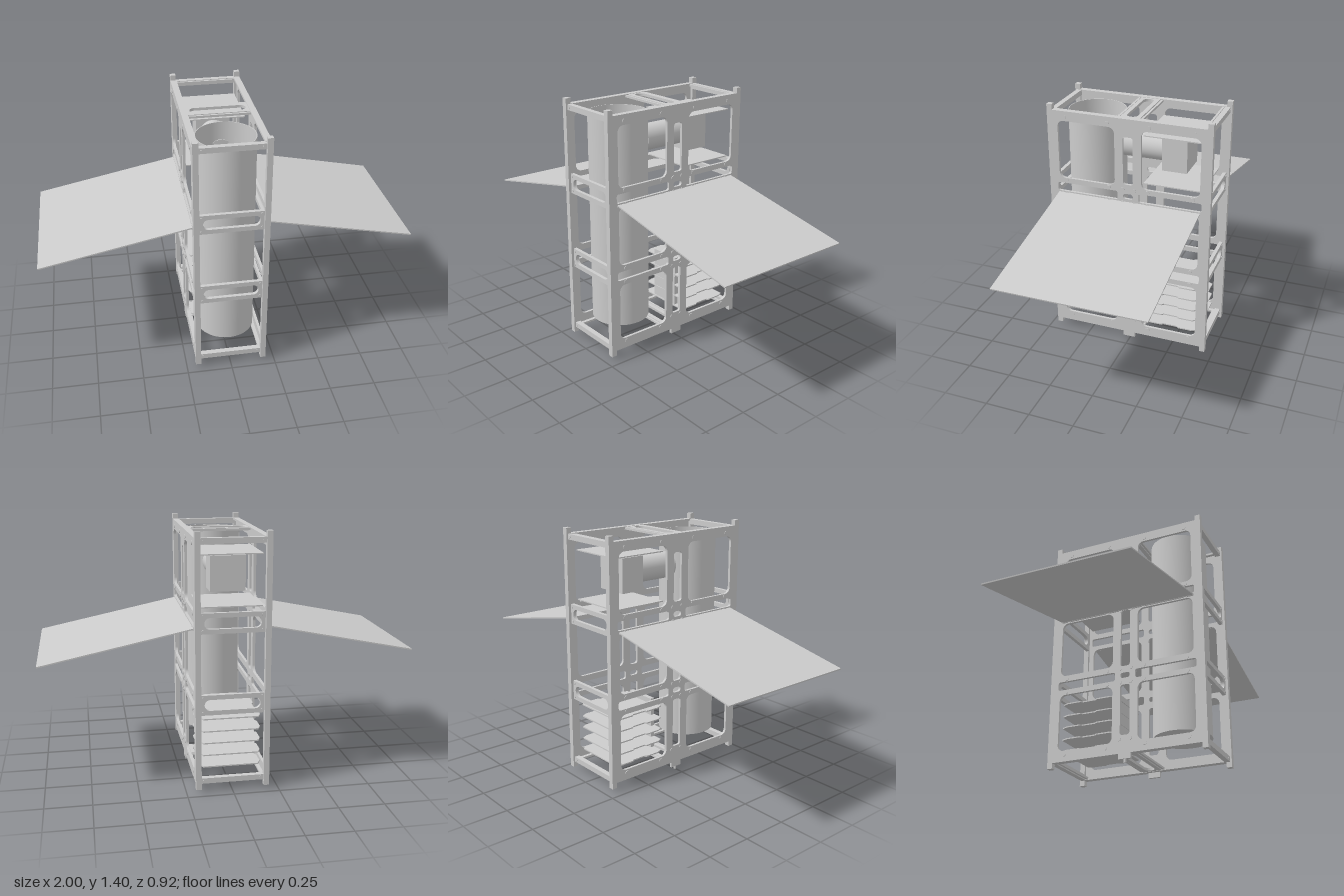
import * as THREE from 'three';

const mat = new THREE.MeshStandardMaterial({ color: 0xcccccc });
const matDouble = new THREE.MeshStandardMaterial({ color: 0xcccccc, side: THREE.DoubleSide });

// Rounded rectangle outline, used for windows and plates
function roundRect(Type, x0, y0, x1, y1, r) {
  const p = new Type();
  p.moveTo(x0 + r, y0);
  p.lineTo(x1 - r, y0); p.absarc(x1 - r, y0 + r, r, -Math.PI / 2, 0);
  p.lineTo(x1, y1 - r); p.absarc(x1 - r, y1 - r, r, 0, Math.PI / 2);
  p.lineTo(x0 + r, y1); p.absarc(x0 + r, y1 - r, r, Math.PI / 2, Math.PI);
  p.lineTo(x0, y0 + r); p.absarc(x0 + r, y0 + r, r, Math.PI, Math.PI * 1.5);
  return p;
}
const hole = (shape, ...a) => shape.holes.push(roundRect(THREE.Path, ...a));
const extrude = (shape, depth) =>
  new THREE.ExtrudeGeometry(shape, { depth, bevelEnabled: false, curveSegments: 6 });

function rect(x0, y0, x1, y1) {
  return new THREE.Shape([[x0, y0], [x1, y0], [x1, y1], [x0, y1]].map(p => new THREE.Vector2(...p)));
}

export function createModel() {
  const model = new THREE.Group();
  const add = (name, geo, x = 0, y = 0, z = 0, material = mat) => {
    const m = new THREE.Mesh(geo, material);
    m.name = name;
    m.position.set(x, y, z);
    model.add(m);
    return m;
  };
  const box = (name, w, h, d, x, y, z) => add(name, new THREE.BoxGeometry(w, h, d), x, y, z);

  // Corner rails
  for (const sx of [-1, 1]) for (const sz of [-1, 1])
    box('cornerRail', 0.03, 1.38, 0.03, sx * 0.185, 0.71, sz * 0.445);

  // Side plates with bay windows, row slots and centre slots
  const side = new THREE.Shape([
    [-0.43, 0.05], [-0.035, 0.05], [-0.035, 0.02], [0.035, 0.02], [0.035, 0.05],
    [0.43, 0.05], [0.43, 1.37], [-0.43, 1.37],
  ].map(p => new THREE.Vector2(...p)));
  for (const s of [-1, 1]) {
    const win = (a, b, y0, y1, r) => hole(side, Math.min(s * a, s * b), y0, Math.max(s * a, s * b), y1, r);
    for (const [y0, y1] of [[0.11, 0.435], [0.55, 0.88], [0.985, 1.315]]) win(0.075, 0.4, y0, y1, 0.035);
    for (const y of [0.465, 0.905]) win(0.06, 0.412, y, y + 0.05, 0.012);
  }
  for (const [y0, y1] of [[0.15, 0.435], [0.475, 0.505], [0.545, 0.885], [0.915, 0.945], [1, 1.27]])
    hole(side, -0.028, y0, 0.028, y1, 0.014);
  const sideGeo = extrude(side, 0.015).rotateY(-Math.PI / 2);
  for (const sx of [-1, 1]) {
    add('sidePlate', sideGeo, sx > 0 ? 0.2 : -0.185);
    // inward flanges along top and bottom edges
    for (const y of [0.056, 1.364]) box('sideFlange', 0.02, 0.012, 0.86, sx * 0.175, y, 0);
  }
  // Switch pin under one side tab
  add('footPin', new THREE.CylinderGeometry(0.007, 0.007, 0.03, 12), -0.19, 0.015, 0);

  // Front and back cross members
  const slotPlate = rect(-0.17, -0.055, 0.17, 0.055);
  hole(slotPlate, -0.15, -0.03, 0.15, 0.03, 0.029);
  const slotGeo = extrude(slotPlate, 0.02).translate(0, 0, -0.01);
  for (const sz of [-1, 1]) {
    for (const y of [0.065, 1.353]) box('crossBar', 0.34, 0.03, 0.03, 0, y, sz * 0.435);
    for (const y of [0.49, 0.93]) add('slottedCrossPlate', slotGeo, 0, y, sz * 0.435);
  }
  // Top and bottom centre plates
  const flatSlotGeo = extrude(slotPlate, 0.015).rotateX(-Math.PI / 2);
  add('topCentrePlate', flatSlotGeo, 0, 1.353, 0);
  add('bottomCentrePlate', flatSlotGeo, 0, 0.052, 0);
  // Ribs bounding each bay
  for (const y of [0.06, 1.36]) for (const z of [-0.41, -0.065, 0.065])
    box('bayRib', 0.34, 0.012, 0.012, 0, y, z);

  // Screws on the sides, front and back
  const headX = new THREE.CylinderGeometry(0.012, 0.012, 0.006, 12).rotateZ(Math.PI / 2);
  const headZ = new THREE.CylinderGeometry(0.007, 0.007, 0.006, 10).rotateX(Math.PI / 2);
  for (const sx of [-1, 1]) for (const sz of [-1, 1]) {
    for (const y of [0.09, 1.335]) for (const z of [0.115, 0.36])
      add('sideScrew', headX, sx * 0.2, y, sz * z);
    for (const y of [0.45, 0.53, 0.89, 0.97]) {
      for (const z of [0.032, 0.11, 0.36]) add('sideScrew', headX, sx * 0.2, y, sz * z);
      add('endScrew', headZ, sx * 0.158, y, sz * 0.446);
    }
    add('sideScrew', headX, sx * 0.2, 0.13, sz * 0.032);
    for (const y of [0.065, 1.353]) add('endScrew', headZ, sx * 0.155, y, sz * 0.45);
  }

  // Telescope tube, open at the top
  const tube = [[0, 0.15], [0.16, 0.15], [0.16, 0.15], [0.16, 1.335], [0.16, 1.335],
    [0.156, 1.335], [0.156, 1.335], [0.156, 0.16]].map(p => new THREE.Vector2(...p));
  add('telescopeTube', new THREE.LatheGeometry(tube, 64), 0, 0, 0.25, matDouble);
  // Concave primary mirror with a raised central baffle
  const dish = [];
  for (let i = 0; i <= 10; i++) {
    const r = 0.045 + 0.111 * i / 10;
    dish.push(new THREE.Vector2(r, 0.165 + 1.2 * r * r));
  }
  add('primaryMirror', new THREE.LatheGeometry(dish, 64), 0, 0, 0.25, matDouble);
  add('mirrorCentre', new THREE.CylinderGeometry(0.045, 0.045, 0.02, 32), 0, 0.16, 0.25);

  // Side optical tube leading to the detector box
  add('opticsTube', new THREE.CylinderGeometry(0.073, 0.073, 0.26, 40).rotateX(Math.PI / 2), 0, 1.162, -0.03);
  box('detectorBox', 0.19, 0.19, 0.14, 0, 1.16, -0.225);

  // Circuit boards with notched side edges
  const boardPts = [[0.165, -0.13], [0.165, -0.05], [0.155, -0.04], [0.155, 0.04],
    [0.165, 0.05], [0.165, 0.13], [0.15, 0.163]];
  const right = [[0.15, -0.163], ...boardPts];
  const left = right.map(([x, y]) => [-x, y]).reverse();
  const board = new THREE.Shape([...right, ...left].map(p => new THREE.Vector2(...p)));
  const boardGeo = extrude(board, 0.007).rotateX(-Math.PI / 2);
  for (const y of [0.12, 0.187, 0.255, 0.322, 0.392]) add('circuitBoard', boardGeo, 0, y, -0.238);
  for (const y of [0.16, 0.225, 0.292, 0.36]) box('boardConnector', 0.19, 0.06, 0.025, 0, y, -0.09);
  box('topConnector', 0.19, 0.03, 0.025, 0, 0.413, -0.09);

  // Detector bay floor and roof
  const bayPlate = new THREE.BoxGeometry(0.33, 0.006, 0.325);
  add('detectorBayFloor', bayPlate, 0, 1.005, -0.238);
  add('detectorBayRoof', bayPlate, 0, 1.277, -0.238);

  // Sloping solar panels
  const dx = 0.8, dy = 0.165;
  for (const sx of [-1, 1]) {
    const panel = box('solarPanel', Math.hypot(dx, dy), 0.007, 0.81, sx * 0.6, 0.812, 0.002);
    panel.rotation.z = -sx * Math.atan2(dy, dx);
    const hinge = add('panelHinge', new THREE.CylinderGeometry(0.006, 0.006, 0.81, 10).rotateX(Math.PI / 2),
      sx * 0.2, 0.892, 0.002);
    hinge.castShadow = false;
  }
  return model;
}
